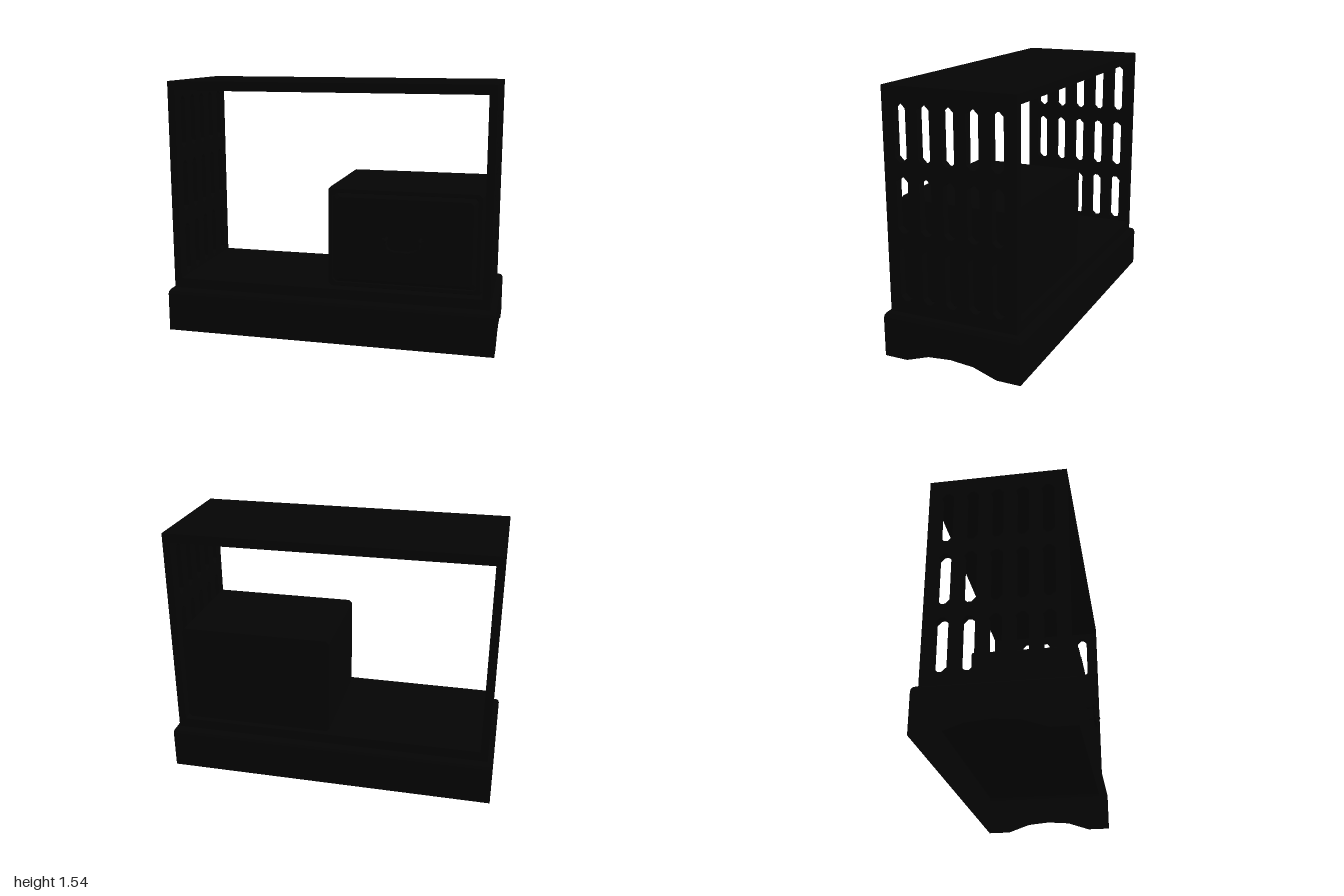
import * as THREE from 'three';

const black = new THREE.MeshStandardMaterial({ color: 0x040404, side: THREE.DoubleSide });
black.name = 'black';

function add(parent, name, geometry, x = 0, y = 0, z = 0) {
  const mesh = new THREE.Mesh(geometry, black);
  mesh.name = name;
  mesh.position.set(x, y, z);
  parent.add(mesh);
  return mesh;
}

// Clipped-corner rectangle rings stacked along +z, capped at the end and,
// unless open, at the start. Each level is [inset from the outline, z].
function rectLoft(w, h, c, levels, open = false) {
  const rings = levels.map(([inset, z]) => {
    const a = w / 2 - inset, b = h / 2 - inset;
    return [[a, -b + c], [a, b - c], [a - c, b], [-a + c, b], [-a, b - c], [-a, -b + c], [-a + c, -b], [a - c, -b]]
      .map(([x, y]) => [x, y, z]);
  });
  const pos = [];
  const tri = (p, q, r) => pos.push(...p, ...q, ...r);
  for (let k = 0; k < rings.length - 1; k++) {
    const lo = rings[k], hi = rings[k + 1];
    for (let i = 0; i < 8; i++) {
      const j = (i + 1) % 8;
      tri(lo[i], lo[j], hi[j]);
      tri(lo[i], hi[j], hi[i]);
    }
  }
  const first = rings[0], last = rings[rings.length - 1];
  for (let i = 1; i < 7; i++) {
    if (!open) tri(first[0], first[i + 1], first[i]);
    tri(last[0], last[i], last[i + 1]);
  }
  const g = new THREE.BufferGeometry();
  g.setAttribute('position', new THREE.Float32BufferAttribute(pos, 3));
  g.computeVertexNormals();
  return g;
}

function polygon(points, Type = THREE.Shape) {
  return new Type(points.map(([x, y]) => new THREE.Vector2(x, y)));
}

function slot(cx, y0, y1) {
  const r = 0.035, c = 0.024;
  return polygon([
    [cx - r, y0 + c], [cx - r + c, y0], [cx + r - c, y0], [cx + r, y0 + c],
    [cx + r, y1 - c], [cx + r - c, y1], [cx - r + c, y1], [cx - r, y1 - c],
  ], THREE.Path);
}

function createBase() {
  const base = new THREE.Group();
  base.name = 'base';
  // Thin shell, open below, with a rounded top edge
  add(base, 'baseTop', rectLoft(2, 0.842, 0.001, [[0, 0.235], [0.003, 0.25], [0.012, 0.262], [0.03, 0.27]], true)
    .rotateX(-Math.PI / 2));
  // End skirts have a shallow arch cut in the bottom edge
  const arch = polygon([
    [-0.421, 0], [-0.28, 0], [-0.14, 0.048], [0, 0.06], [0.14, 0.048], [0.28, 0], [0.421, 0],
    [0.421, 0.235], [-0.421, 0.235],
  ]);
  for (const s of [-1, 1]) {
    add(base, s > 0 ? 'frontSkirt' : 'backSkirt', new THREE.PlaneGeometry(2, 0.235), 0, 0.1175, s * 0.421)
      .rotation.y = s > 0 ? 0 : Math.PI;
    add(base, s > 0 ? 'leftSkirt' : 'rightSkirt', new THREE.ShapeGeometry(arch), s).rotation.y = s * Math.PI / 2;
  }
  return base;
}

function createFrame() {
  const frame = new THREE.Group();
  frame.name = 'frame';
  add(frame, 'shelf', new THREE.BoxGeometry(1.842, 0.06, 0.78), 0, 0.3, 0);
  add(frame, 'topBoard', new THREE.BoxGeometry(1.934, 0.055, 0.78), 0, 1.5125, 0);
  // Side panels pierced by three rows of five slots
  const panel = polygon([[-0.39, 0.27], [0.39, 0.27], [0.39, 1.485], [-0.39, 1.485]]);
  for (let row = 0; row < 3; row++)
    for (let col = -2; col <= 2; col++)
      panel.holes.push(slot(col * 0.1415, 0.345 + row * 0.395, 0.658 + row * 0.395));
  const plate = new THREE.ExtrudeGeometry(panel, { depth: 0.046, bevelEnabled: false })
    .translate(0, 0, -0.023).rotateY(Math.PI / 2);
  for (const s of [-1, 1])
    add(frame, s > 0 ? 'leftPanel' : 'rightPanel', plate, s * 0.944);
  return frame;
}

function createDrawer() {
  const drawer = new THREE.Group();
  drawer.name = 'drawerUnit';
  drawer.position.set(0.457, 0.633, 0);
  // Body with a bevelled rim and a raised front panel
  add(drawer, 'drawerBody', rectLoft(0.914, 0.606, 0.018,
    [[0, -0.352], [0, 0.315], [0.012, 0.337], [0.03, 0.337], [0.035, 0.332], [0.058, 0.348]]));

  // Hanging pull between two knobs
  const handle = new THREE.Group();
  handle.name = 'handle';
  drawer.add(handle);
  for (const s of [-1, 1]) {
    add(handle, 'handlePost', new THREE.CylinderGeometry(0.009, 0.009, 0.07, 10).rotateX(Math.PI / 2), s * 0.1, 0.015, 0.375);
    add(handle, 'handleKnob', new THREE.SphereGeometry(0.013, 12, 8), s * 0.1, 0.015, 0.408);
  }
  const path = new THREE.CatmullRomCurve3([
    [-0.118, 0.02], [-0.1, 0.008], [-0.092, -0.03], [-0.065, -0.05], [0, -0.056],
    [0.065, -0.05], [0.092, -0.03], [0.1, 0.008], [0.118, 0.02],
  ].map(([x, y]) => new THREE.Vector3(x, y, 0.396)));
  add(handle, 'handlePull', new THREE.TubeGeometry(path, 40, 0.009, 8));
  return drawer;
}

export function createModel() {
  const model = new THREE.Group();
  model.name = 'storageBench';
  model.add(createBase(), createFrame(), createDrawer());
  return model;
}
